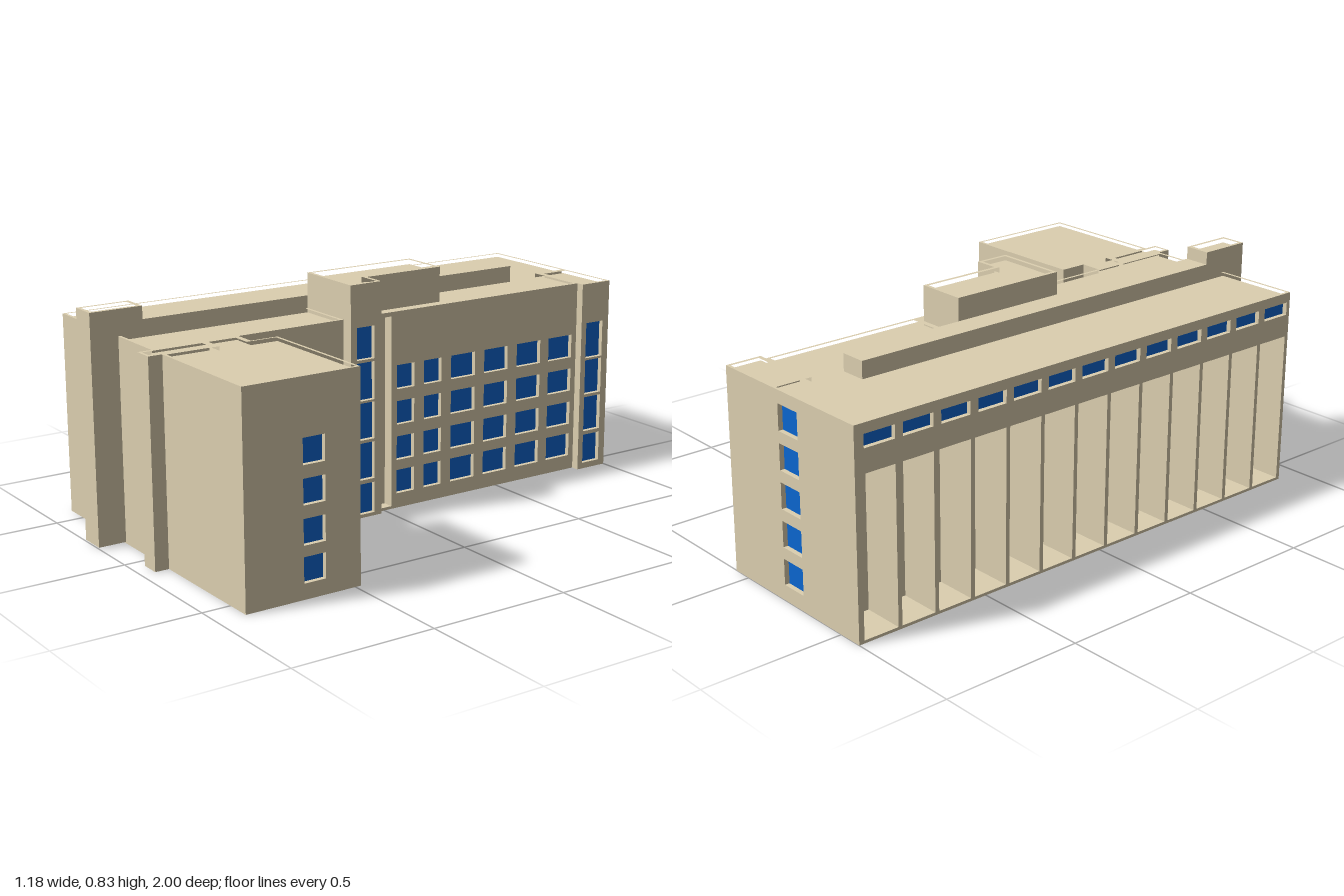
import * as THREE from 'three';

const stone = new THREE.MeshStandardMaterial({ color: 0xdccfb0 });
const blue = new THREE.MeshStandardMaterial({ color: 0x0b66d0 });
const REVEAL = 0.02; // depth of the window recesses
const BASE = 0.01;   // thickness of the ground slab
const ROOF = 0.695;  // roof deck
const TOP = 0.71;    // parapet top

export function createModel() {
  const model = new THREE.Group();

  const add = (name, geometry, material = stone, parent = model) => {
    const mesh = new THREE.Mesh(geometry, material);
    mesh.name = name;
    parent.add(mesh);
    return mesh;
  };

  // Extrude a floor plan given as [x, z] corners from y0 to y1, with open pits
  const toVectors = (pts) => pts.map(([x, z]) => new THREE.Vector2(x, -z));
  const plan = (name, pts, y0, y1, pits = []) => {
    const shape = new THREE.Shape(toVectors(pts));
    for (const p of pits) shape.holes.push(new THREE.Path(toVectors(p)));
    const g = new THREE.ExtrudeGeometry(shape, { depth: y1 - y0, bevelEnabled: false });
    g.rotateX(-Math.PI / 2).translate(0, y0, 0);
    return add(name, g);
  };
  const rect = (x0, x1, z0, z1) => [[x0, z0], [x1, z0], [x1, z1], [x0, z1]];

  // Facade panel with recessed windows; u runs to the right seen from outside
  const panel = (name, angle, face, u0, u1, y0, y1, windows) => {
    const group = new THREE.Group();
    group.name = name;
    group.rotation.y = angle;
    const corners = (a, b, c, d) => [[a, c], [b, c], [b, d], [a, d]].map(([u, y]) => new THREE.Vector2(u, y));
    const shape = new THREE.Shape(corners(u0, u1, y0, y1));
    for (const [a, b, c, d] of windows) {
      shape.holes.push(new THREE.Path(corners(a, b, c, d)));
      const glass = new THREE.PlaneGeometry(b - a, d - c);
      glass.translate((a + b) / 2, (c + d) / 2, face - REVEAL + 0.003);
      add('windowPane', glass, blue, group);
    }
    const g = new THREE.ExtrudeGeometry(shape, { depth: REVEAL, bevelEnabled: false });
    add('windowWall', g.translate(0, 0, face - REVEAL), stone, group);
    model.add(group);
  };
  const grid = (columns, rows) => columns.flatMap(([a, b]) => rows.map(([c, d]) => [a, b, c, d]));

  const EAST = Math.PI / 2, NORTH = Math.PI, WEST = -Math.PI / 2;
  const floors = [[0.053, 0.139], [0.176, 0.262], [0.305, 0.39], [0.433, 0.519]];
  const stairFloors = [[0.022, 0.132], [0.146, 0.278], [0.289, 0.42], [0.428, 0.562], [0.572, 0.686]];

  // Ground slab and parapet share the outer footprint
  const footprint = [
    [-0.59, -1], [0.07, -1], [0.07, -0.87], [0.04, -0.87], [0.04, 0.58], [0.118, 0.58], [0.118, 0.48],
    [0.59, 0.48], [0.59, 0.9], [0.115, 0.9], [0.115, 0.95], [0.045, 0.95], [0.045, 0.9], [-0.59, 0.9],
  ];
  plan('groundSlab', footprint, 0, BASE);
  plan('roofParapet', footprint, ROOF, TOP, [
    [[-0.58, -0.99], [-0.19, -0.99], [-0.19, -0.86], [0.03, -0.86], [0.03, -0.285], [-0.18, -0.285], [-0.18, 0.18],
      [0.03, 0.18], [0.03, 0.89], [-0.18, 0.89], [-0.18, 0.81], [-0.275, 0.81], [-0.275, 0.89], [-0.58, 0.89]],
    rect(-0.165, 0.058, -0.99, -0.885),
    [[0.055, 0.6], [0.125, 0.6], [0.125, 0.49], [0.58, 0.49], [0.58, 0.89], [0.125, 0.89], [0.125, 0.7], [0.055, 0.7]],
    rect(0.057, 0.103, 0.725, 0.94),
  ]);

  // Solid body behind the facades
  plan('buildingBody', [
    [-0.44, -0.98], [0.05, -0.98], [0.05, -0.87], [0.02, -0.87], [0.02, -0.03], [-0.01, -0.03], [-0.01, 0.17],
    [0.02, 0.17], [0.02, 0.58], [0.118, 0.58], [0.118, 0.5], [0.57, 0.5], [0.57, 0.9], [0.115, 0.9],
    [0.115, 0.95], [0.045, 0.95], [0.045, 0.9], [-0.44, 0.9],
  ], BASE, ROOF);

  // East facades (u = -z)
  panel('eastWallBack', EAST, 0.04, 0.03, 0.87, BASE, ROOF, grid(
    [[0.053, 0.128], [0.17, 0.246], [0.289, 0.396], [0.438, 0.545], [0.588, 0.698], [0.738, 0.848]], floors));
  panel('eastWallFront', EAST, 0.04, -0.58, -0.17, BASE, ROOF, grid(
    [[-0.56, -0.474], [-0.428, -0.337], [-0.297, -0.193]], floors));
  panel('backStairWall', EAST, 0.07, 0.87, 0.98, BASE, ROOF, grid([[0.893, 0.972]], stairFloors.slice(0, 4)));
  panel('centreStairWall', EAST, 0.085, -0.17, -0.045, BASE, 0.815, grid([[-0.145, -0.073]], stairFloors));
  panel('wingEastWall', EAST, 0.59, -0.9, -0.5, BASE, ROOF, grid([[-0.69, -0.61]], floors));

  // Back facades (u = -x)
  panel('wingBackWall', NORTH, -0.48 , -0.59, -0.118, BASE, ROOF, grid(
    [[-0.56, -0.505], [-0.468, -0.415], [-0.378, -0.325], [-0.285, -0.23]], floors));
  panel('backWall', NORTH, 1, -0.07, 0.59, BASE, ROOF, grid(
    [[0.207, 0.307]], [0, 1, 2, 3, 4].map((i) => [0.055 + i * 0.13, 0.145 + i * 0.13])));

  // West facade: ribbon windows above deep bays divided by fins
  const BAYS = 13, z0 = -0.98, pitch = (0.9 - z0) / BAYS;
  const ribbon = [];
  for (let i = 0; i < BAYS; i++) {
    const z = z0 + i * pitch;
    ribbon.push([z + 0.015, z + pitch - 0.015, 0.63, 0.675]);
    plan('westFin', rect(-0.59, -0.44, z + pitch - 0.015, z + pitch), BASE, 0.55);
  }
  panel('westRibbonWall', WEST, 0.59, z0, 0.9, 0.55, ROOF, ribbon);
  plan('westUpperBody', rect(-0.57, -0.44, z0, 0.9), 0.55, ROOF);

  // Central stair and lift tower rising through the roof
  plan('centreTower', [[-0.18, -0.265], [0, -0.265], [0, 0.045], [0.065, 0.045], [0.065, 0.17], [-0.18, 0.17]], BASE, 0.815);
  plan('centreTowerParapet', [[-0.18, -0.265], [0, -0.265], [0, 0.045], [0.085, 0.045], [0.085, 0.17], [-0.18, 0.17]],
    0.815, 0.835, [[[-0.167, -0.253], [-0.013, -0.253], [-0.013, 0.058], [0.073, 0.058], [0.073, 0.158], [-0.167, 0.158]]]);

  // Front shaft and the long roof duct leading to it
  plan('frontShaft', rect(-0.275, -0.18, 0.81, 1), 0.005, 0.78);
  plan('frontShaftParapet', rect(-0.275, -0.18, 0.81, 1), 0.78, 0.8, [rect(-0.263, -0.192, 0.825, 0.988)]);
  plan('roofDuct', rect(-0.275, -0.18, -0.73, 0.81), ROOF, 0.755);

  return model;
}
